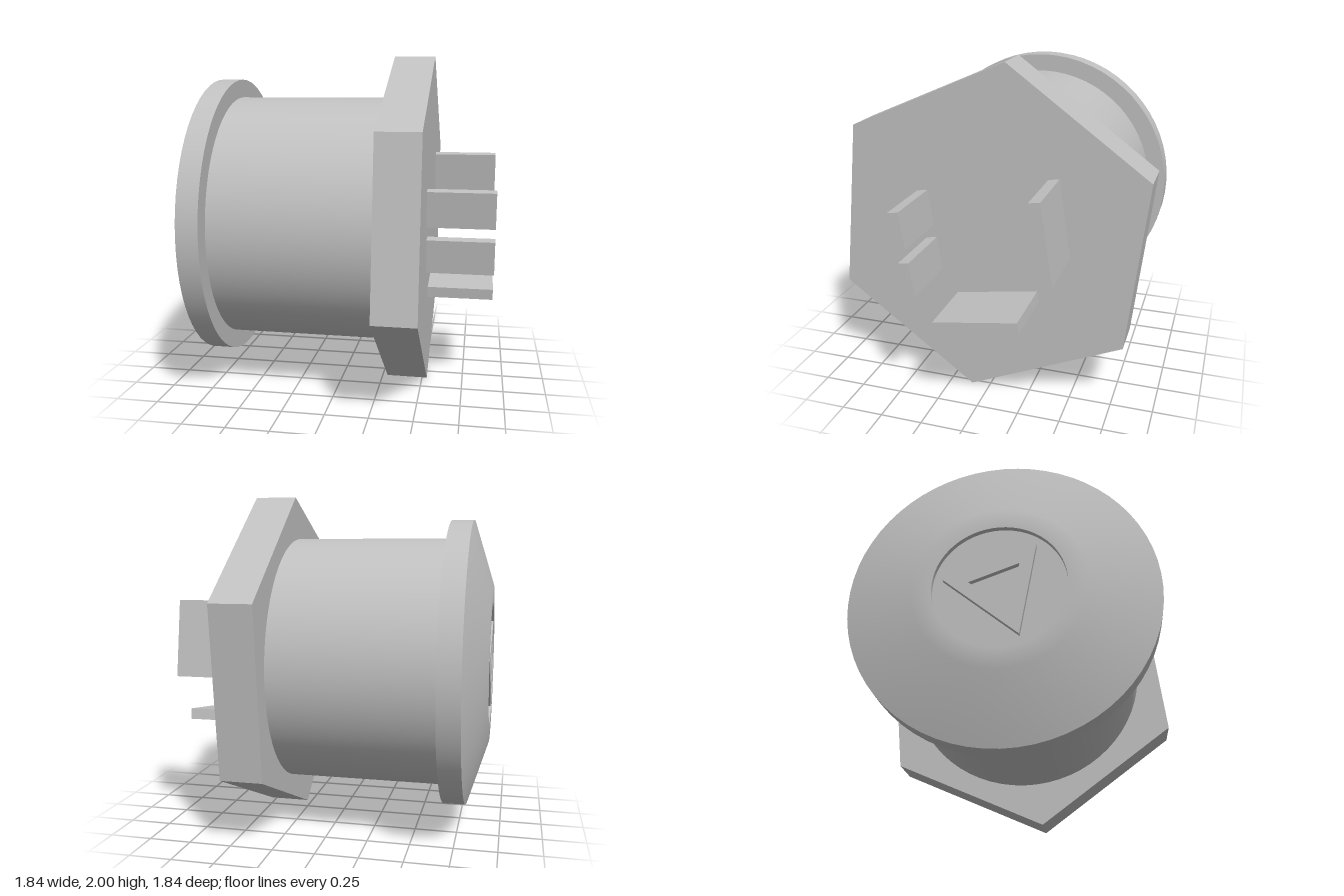
import * as THREE from 'three';
import { mergeGeometries } from 'three/addons/utils/BufferGeometryUtils.js';

export function createModel() {
  const model = new THREE.Group();
  model.name = 'pushButton';
  const grey = new THREE.MeshStandardMaterial({ color: 0xc0c0c0 });
  grey.name = 'grey';

  // Everything turns about the x axis, held one unit above the ground
  const body = new THREE.Group();
  body.name = 'buttonBody';
  body.position.y = 1;
  model.add(body);

  const add = (name, geometry, x = 0, y = 0, z = 0) => {
    const mesh = new THREE.Mesh(geometry, grey);
    mesh.name = name;
    mesh.position.set(x, y, z);
    body.add(mesh);
    return mesh;
  };

  // Each strip is a list of [radius, x]; strips meet in sharp edges
  const turned = (...strips) => mergeGeometries(strips.map((strip) =>
    new THREE.LatheGeometry(strip.map(([r, x]) => new THREE.Vector2(r, x)), 64)
  )).rotateZ(-Math.PI / 2);

  // Head: recessed centre, shallow cone and rim
  add('head', turned(
    [[0, -0.89], [0.365, -0.89]],
    [[0.365, -0.89], [0.365, -0.92]],
    [[0.365, -0.92], [0.48, -0.92], [0.86, -0.8]],
    [[0.86, -0.8], [0.86, -0.67]],
    [[0.86, -0.67], [0.75, -0.67]],
  ));
  add('barrel', turned([[0.75, -0.67], [0.75, 0.28]]));

  // Hexagonal nut
  const nut = new THREE.CylinderGeometry(1.006, 1.006, 0.25, 6, 1, false, 1.461)
    .rotateZ(-Math.PI / 2).toNonIndexed();
  nut.computeVertexNormals();
  add('hexNut', nut, 0.405);

  // Raised triangular frame in the recess
  const triangle = (r) => [50, 170, 290].map((deg) => {
    const a = THREE.MathUtils.degToRad(deg);
    return new THREE.Vector2(r * Math.cos(a), r * Math.sin(a));
  });
  const frame = new THREE.Shape(triangle(0.31));
  frame.holes.push(new THREE.Path(triangle(0.168).reverse()));
  add('triangleFrame', new THREE.ExtrudeGeometry(frame, { depth: 0.03, bevelEnabled: false })
    .rotateY(-Math.PI / 2), -0.89);

  // Contact blades: [name, height, width, y, z]
  const blades = [
    ['longBlade', 0.46, 0.065, 0.152, -0.4225],
    ['upperShortBlade', 0.213, 0.065, 0.134, 0.378],
    ['lowerShortBlade', 0.202, 0.065, -0.149, 0.332],
    ['crossBlade', 0.066, 0.496, -0.378, -0.06],
  ];
  for (const [name, h, w, y, z] of blades) {
    add(name, new THREE.BoxGeometry(0.39, h, w), 0.725, y, z).rotation.x = 0.152;
  }

  return model;
}
